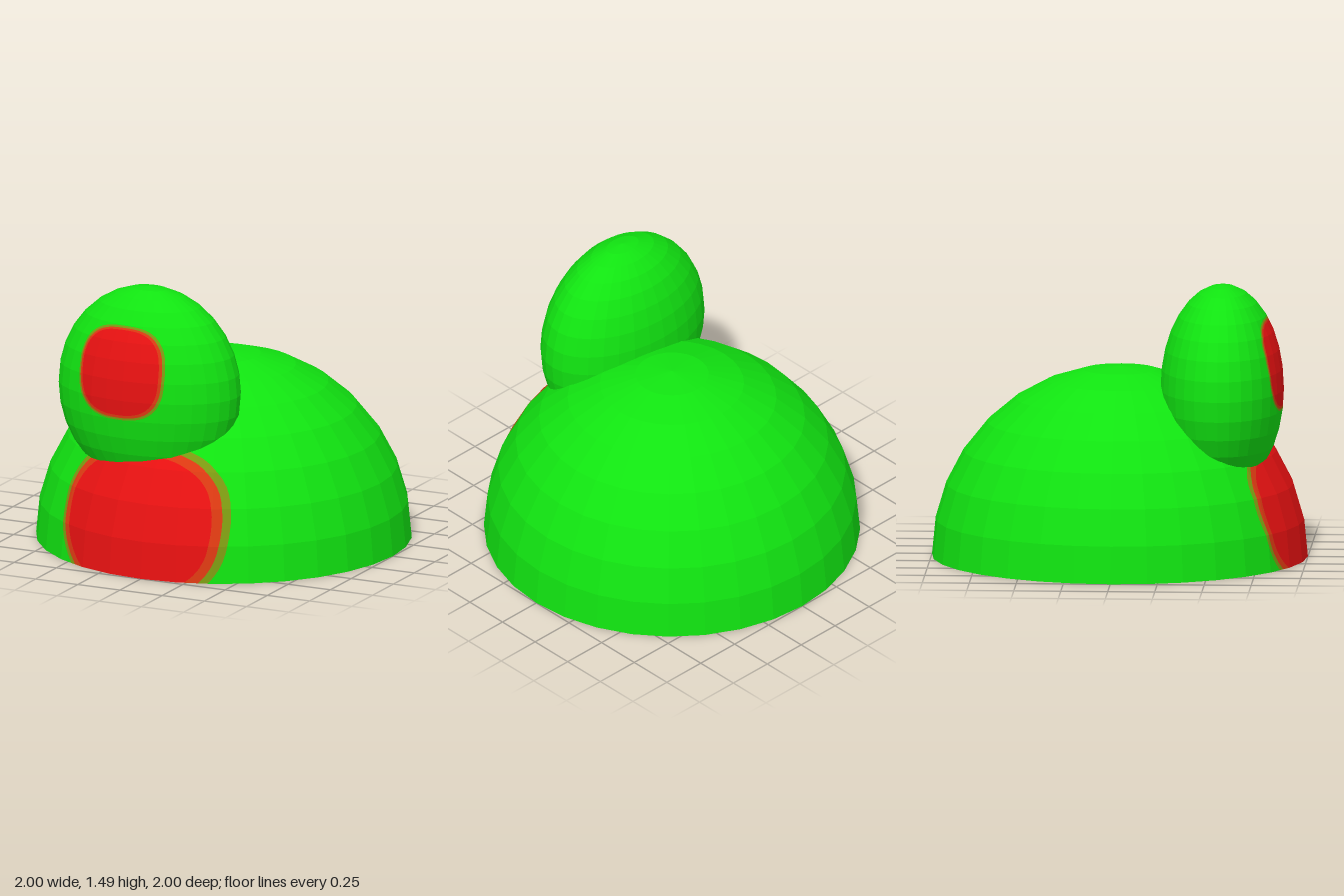
import * as THREE from 'three';

const material = (name, color) => Object.assign(new THREE.MeshStandardMaterial({ color }), { name });

// Superellipse outline seen from the front: negative inside, positive outside
const outline = (cx, cy, rx, ry, power) => (p) =>
  Math.abs((p.x - cx) / rx) ** power + Math.abs((p.y - cy) / ry) ** power - 1;

// Cut a convex polygon along f = 0, keeping the corner order
function split(poly, f) {
  const inside = [], outside = [];
  poly.forEach((a, i) => {
    const b = poly[(i + 1) % poly.length], fa = f(a), fb = f(b);
    (fa < 0 ? inside : outside).push(a);
    if (fa < 0 !== fb < 0) {
      const cut = a.clone().lerp(b, fa / (fa - fb));
      inside.push(cut);
      outside.push(cut);
    }
  });
  return [inside, outside];
}

// Divide a triangle into n * n smaller ones
function subdivide([a, b, c], n) {
  const at = (i, j) => a.clone().addScaledVector(b.clone().sub(a), i / n).addScaledVector(c.clone().sub(a), j / n);
  const out = [];
  for (let i = 0; i < n; i++) {
    for (let j = 0; j < n - i; j++) {
      out.push([at(i, j), at(i + 1, j), at(i, j + 1)]);
      if (i + j < n - 1) out.push([at(i + 1, j), at(i + 1, j + 1), at(i, j + 1)]);
    }
  }
  return out;
}

// Faceted form with a patch on its front; outlines run from the innermost colour outwards
function paintedForm(name, geometry, centreZ, outlines, names, materials) {
  const faceted = geometry.toNonIndexed(), pos = faceted.attributes.position;
  const layers = materials.map(() => ({ position: [], normal: [] }));
  const add = (poly, layer, normal) => {
    for (let i = 1; i < poly.length - 1; i++) {
      for (const p of [poly[0], poly[i], poly[i + 1]]) {
        layers[layer].position.push(p.x, p.y, p.z);
        layers[layer].normal.push(normal.x, normal.y, normal.z);
      }
    }
  };
  const last = materials.length - 1, widest = outlines[outlines.length - 1];
  for (let i = 0; i < pos.count; i += 3) {
    const tri = [0, 1, 2].map((k) => new THREE.Vector3().fromBufferAttribute(pos, i + k));
    const normal = new THREE.Triangle(...tri).getNormal(new THREE.Vector3());
    const pieces = subdivide(tri, 5);
    const front = (tri[0].z + tri[1].z + tri[2].z) / 3 > centreZ;
    if (!front || !pieces.flat().some((p) => widest(p) < 0)) {
      add(tri, last, normal);
      continue;
    }
    for (const piece of pieces) {
      let rest = piece;
      outlines.forEach((f, layer) => {
        const [inside, outside] = split(rest, f);
        add(inside, layer, normal);
        rest = outside;
      });
      add(rest, last, normal);
    }
  }
  const group = new THREE.Group();
  group.name = name;
  layers.forEach((layer, i) => {
    const g = new THREE.BufferGeometry();
    for (const key of ['position', 'normal']) g.setAttribute(key, new THREE.Float32BufferAttribute(layer[key], 3));
    const mesh = new THREE.Mesh(g, materials[i]);
    mesh.name = names[i];
    group.add(mesh);
  });
  return group;
}

export function createModel() {
  const model = new THREE.Group();
  model.name = 'domedFigure';
  const green = material('green', 0x11e411);
  const materials = [
    material('red', 0xee1212),
    material('rimRed', 0xdc3a12),
    material('rimOlive', 0x7c9a12),
    green,
  ];

  // Domed body with the belly patch
  const dome = new THREE.SphereGeometry(1, 32, 8, 0, Math.PI * 2, 0, Math.PI / 2).scale(1, 1.02, 1);
  model.add(paintedForm('body', dome, 0, [
    outline(-0.075, 0.27, 0.435, 0.35, 2.4),
    outline(-0.065, 0.27, 0.475, 0.385, 2.4),
    outline(-0.055, 0.27, 0.505, 0.41, 2.4),
  ], ['bellyPatch', 'bellyInnerRim', 'bellyOuterRim', 'bodyShell'], materials));

  // Flat underside
  const base = new THREE.Mesh(new THREE.CircleGeometry(1, 32).rotateX(Math.PI / 2), green);
  base.name = 'base';
  model.add(base);

  // Flattened head, set forward and to one side, with the face patch
  const head = new THREE.SphereGeometry(1, 32, 16).scale(0.517, 0.555, 0.328).translate(-0.167, 0.93, 0.553);
  model.add(paintedForm('head', head, 0.553, [
    outline(-0.203, 1.072, 0.23, 0.225, 2.7),
    outline(-0.2, 1.07, 0.244, 0.237, 2.7),
    outline(-0.198, 1.07, 0.257, 0.248, 2.7),
  ], ['facePatch', 'faceInnerRim', 'faceOuterRim', 'headShell'], materials));

  return model;
}
